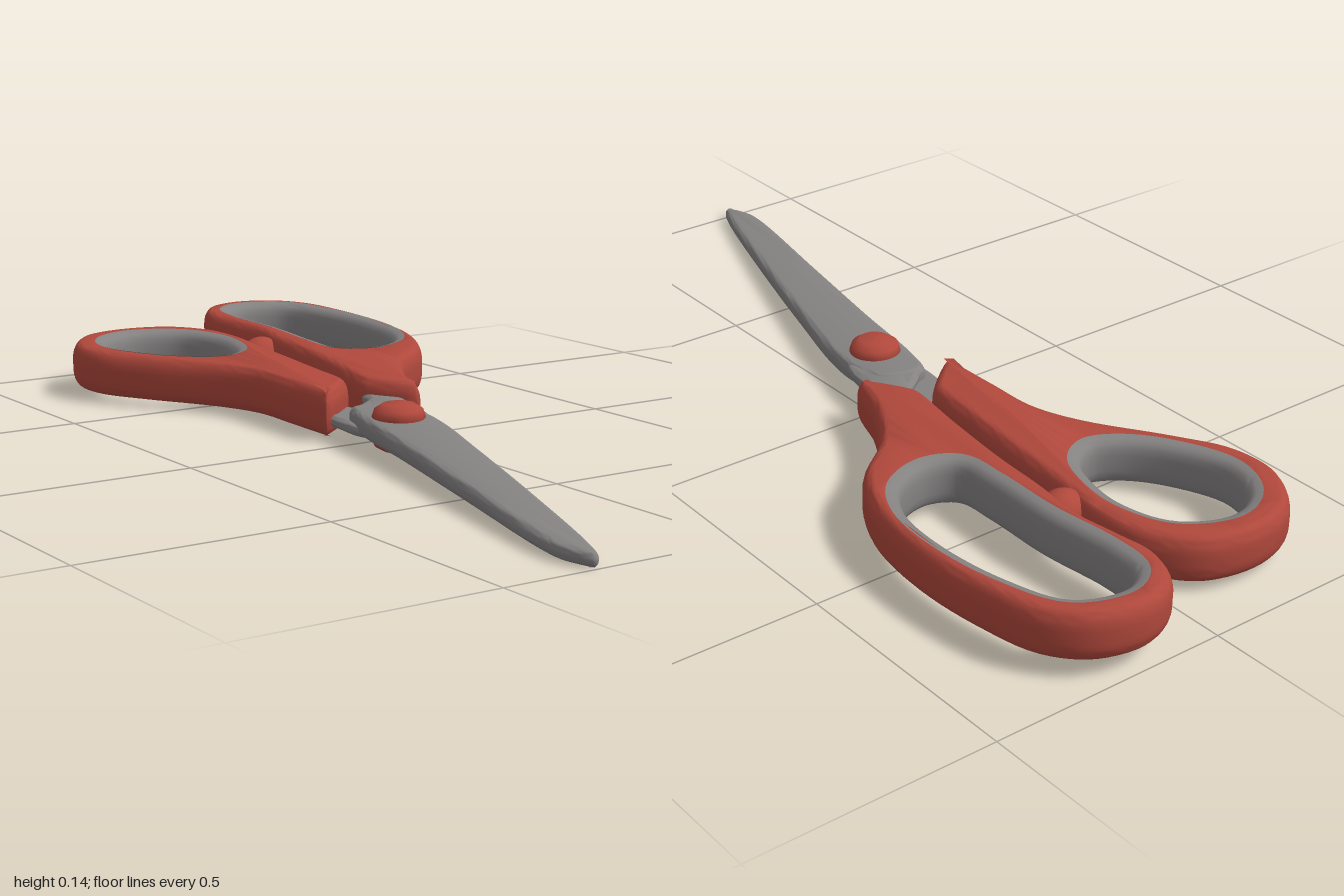
import * as THREE from 'three';
import { mergeVertices, toCreasedNormals } from 'three/addons/utils/BufferGeometryUtils.js';
import { ParametricGeometry } from 'three/addons/geometries/ParametricGeometry.js';

const red = new THREE.MeshStandardMaterial({ color: 0xb0483c });
red.name = 'red plastic';
const grey = new THREE.MeshStandardMaterial({ color: 0x858282, side: THREE.DoubleSide });
grey.name = 'grey metal';

// Closed smooth counter-clockwise contour through [x, z] points.
function contour(points, count = 72) {
  const curve = new THREE.CatmullRomCurve3(points.map(([x, z]) => new THREE.Vector3(x, z, 0)), true, 'centripetal');
  const pts = curve.getPoints(count).slice(0, count).map((p) => new THREE.Vector2(p.x, p.y));
  return THREE.ShapeUtils.area(pts) < 0 ? pts.reverse() : pts;
}

// Moves a contour outwards along its normals.
function offset(pts, d) {
  return pts.map((p, i) => {
    const t = pts[(i + 1) % pts.length].clone().sub(pts[(i + pts.length - 1) % pts.length]).normalize();
    return new THREE.Vector2(p.x + t.y * d, p.y - t.x * d);
  });
}

// Drops seams and rebuilds smooth normals, keeping sharp creases.
function smooth(geo) {
  geo.deleteAttribute('uv');
  geo.deleteAttribute('normal');
  return toCreasedNormals(mergeVertices(geo, 1e-5), 0.7);
}

// Flat plate with rounded edges, lying between y = 0 and y = height, then bent by a rule for y.
function plate(outline, hole, height, bevel, bevelHeight, bend) {
  const shape = new THREE.Shape(outline);
  if (hole) shape.holes.push(new THREE.Path(hole));
  const geo = new THREE.ExtrudeGeometry(shape, {
    depth: height - 2 * bevelHeight, bevelSize: bevel, bevelOffset: -bevel,
    bevelThickness: bevelHeight, bevelSegments: 6,
  });
  geo.rotateX(Math.PI / 2).translate(0, height - bevelHeight, 0);
  const pos = geo.attributes.position;
  for (let i = 0; i < pos.count; i++) pos.setY(i, bend(pos.getY(i), pos.getZ(i)));
  return smooth(geo);
}

// Soft lining that covers the wall and rims of a finger hole.
function lining(hole, height, bend) {
  const profile = [[0.029, 0.001], [0.016, -0.002], [0.007, -0.008], [0.002, -0.018], [0, -0.032]];
  const section = [...profile, ...profile.slice().reverse().map(([d, y]) => [d, -height - y])];
  const rings = section.map(([d]) => offset(hole, d));
  const n = hole.length;
  return smooth(new ParametricGeometry((u, v, target) => {
    const j = Math.round(v * (section.length - 1));
    const p = rings[j][(n - Math.round(u * n)) % n];
    target.set(p.x, bend(height + section[j][1], p.y), p.y);
  }, n, section.length - 1));
}

function handle(name, outlinePts, holePts, height, bend) {
  const group = new THREE.Group();
  group.name = name;
  const hole = contour(holePts);
  const body = new THREE.Mesh(plate(contour(outlinePts, 110), offset(hole, 0.008), height, 0.021, 0.038, bend), red);
  body.name = 'grip';
  const liner = new THREE.Mesh(lining(hole, height, bend), grey);
  liner.name = 'gripLining';
  group.add(body, liner);
  return group;
}

export function createModel() {
  const model = new THREE.Group();
  model.name = 'scissors';

  // Round thumb handle
  model.add(handle('thumbHandle', [
    [-0.16, -0.05], [-0.163, -0.07], [-0.165, -0.2], [-0.168, -0.32], [-0.205, -0.42], [-0.3, -0.57], [-0.357, -0.68],
    [-0.357, -0.79], [-0.285, -0.89], [-0.18, -0.92], [-0.065, -0.89], [0.002, -0.8],
    [0.015, -0.69], [0, -0.56], [-0.015, -0.42], [-0.035, -0.25], [-0.046, -0.15], [-0.055, -0.13], [-0.15, -0.05],
  ], [
    [-0.18, -0.845], [-0.255, -0.81], [-0.29, -0.725], [-0.245, -0.6], [-0.19, -0.535], [-0.14, -0.512],
    [-0.09, -0.54], [-0.06, -0.61], [-0.05, -0.7], [-0.085, -0.8],
  ], 0.098, (y, z) => y + 0.011 - 0.012 * z));

  // Long finger handle
  model.add(handle('fingerHandle', [
    [0.165, -1], [0.08, -0.965], [0.04, -0.88], [0.045, -0.79], [0.053, -0.69], [0.037, -0.58],
    [0.025, -0.45], [0, -0.28], [-0.025, -0.14], [-0.024, -0.12], [0.035, -0.02], [0.048, -0.018],
    [0.095, -0.13], [0.165, -0.24], [0.27, -0.33], [0.335, -0.45], [0.362, -0.61],
    [0.357, -0.77], [0.33, -0.9], [0.265, -0.975],
  ], [
    [0.165, -0.932], [0.115, -0.9], [0.102, -0.82], [0.112, -0.66], [0.106, -0.5], [0.112, -0.415],
    [0.165, -0.39], [0.245, -0.42], [0.295, -0.5], [0.313, -0.63], [0.297, -0.79], [0.255, -0.9],
  ], 0.102, (y, z) => y + 0.005 - 0.036 * z));

  // Bumper joining the handles
  const bumper = new THREE.Mesh(new THREE.SphereGeometry(1, 24, 16), red);
  bumper.name = 'handleBumper';
  bumper.scale.set(0.05, 0.045, 0.042);
  bumper.position.set(0.025, 0.077, -0.615);
  model.add(bumper);

  // Closed blades dropping and thinning towards the tip, with a shank into each handle
  const steel = [
    ['blades', [
      [-0.12, -0.02], [-0.15, 0.05], [-0.195, 0.265], [-0.26, 0.555], [-0.333, 0.885], [-0.335, 0.94], [-0.314, 0.997],
      [-0.306, 0.995], [-0.283, 0.95], [-0.18, 0.66], [-0.085, 0.37], [-0.027, 0.18], [-0.012, 0.08], [-0.03, 0],
    ], 0.023, 0.046],
    ['thumbShank', [
      [-0.15, 0.06], [-0.147, -0.06], [-0.14, -0.16], [-0.075, -0.16], [-0.06, -0.12], [-0.02, -0.04], [-0.02, 0.09], [-0.09, 0.14],
    ], 0.022, 0.026],
    ['fingerShank', [
      [-0.14, 0.04], [-0.11, -0.02], [-0.04, -0.08], [-0.015, -0.14], [0.025, -0.13], [0.028, -0.06], [0.01, 0.01], [-0.013, 0.1], [-0.09, 0.14],
    ], 0.022, 0.004],
  ];
  for (const [name, pts, top, height] of steel) {
    const base = name === 'blades' ? -top : top - height - 0.022;
    const bend = (y, z) => 0.0575 - 0.04 * Math.max(z, 0) + (y + base) * (1 - 0.4 * Math.max(z, 0));
    const thickness = name === 'blades' ? height : 0.024;
    const part = new THREE.Mesh(plate(contour(pts, 90), null, thickness, 0.014, thickness * 0.4, bend), grey);
    part.name = name;
    model.add(part);
  }

  // Pivot with a domed button on each face
  const profile = [[0, 0.006], [0.03, 0.008], [0.048, 0.018], [0.054, 0.03], [0.045, 0.04], [0.045, 0.066],
    [0.054, 0.076], [0.049, 0.092], [0.032, 0.103], [0, 0.106]].map(([r, y]) => new THREE.Vector2(r, y));
  const pivot = new THREE.Mesh(new THREE.LatheGeometry(profile, 32), red);
  pivot.name = 'pivotScrew';
  pivot.position.set(-0.092, 0, 0.11);
  model.add(pivot);

  // Rest the lowest point on y = 0 and centre the plan
  const box = new THREE.Box3().setFromObject(model);
  const mid = box.getCenter(new THREE.Vector3());
  model.children.forEach((c) => c.position.sub(new THREE.Vector3(mid.x, box.min.y, mid.z)));
  return model;
}
